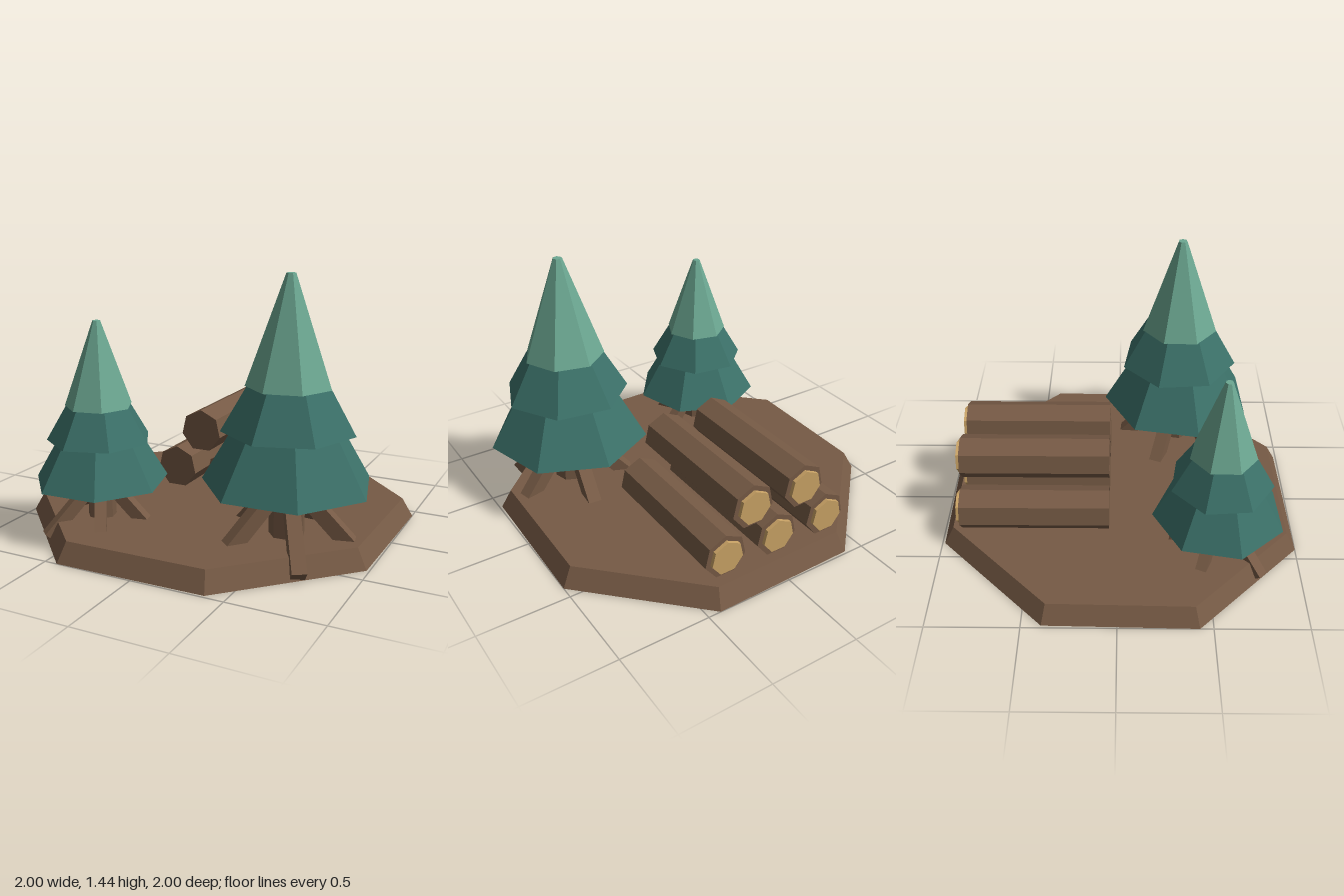
import * as THREE from 'three';

const material = (name, color) => {
  const m = new THREE.MeshStandardMaterial({ color });
  m.name = name;
  return m;
};

// Faceted normals for the low-poly look
const flat = (geometry) => {
  const g = geometry.toNonIndexed();
  g.computeVertexNormals();
  return g;
};

export function createModel() {
  const wood = material('bark brown', 0x765a45);
  const cut = material('cut wood tan', 0xc9a265);
  const foliage = material('dark foliage teal', 0x3b7068);
  const tip = material('light foliage green', 0x6ca892);

  const add = (parent, name, geometry, mat) => {
    const mesh = new THREE.Mesh(flat(geometry), mat);
    mesh.name = name;
    parent.add(mesh);
    return mesh;
  };
  const model = new THREE.Group();
  model.name = 'forestClearing';

  // Octagonal ground slab, slightly stretched along one diagonal
  const slab = new THREE.CylinderGeometry(0.945, 1, 0.105, 8, 1, false, Math.PI / 8);
  slab.scale(1.094, 1, 1.056).rotateY(Math.PI / 4).translate(0, 0.0675, 0);
  add(model, 'ground', slab, wood);

  // Stacked seven-sided logs with pale cut ends at the back
  const logs = new THREE.Group();
  logs.name = 'logPile';
  model.add(logs);
  const rod = (radius, z0, z1) =>
    new THREE.CylinderGeometry(radius, radius, z1 - z0, 7)
      .rotateX(-Math.PI / 2).translate(0, 0, (z0 + z1) / 2);
  for (const [x, y] of [[-0.32, 0.231], [0, 0.231], [0.32, 0.231], [-0.16, 0.469], [0.16, 0.469]]) {
    const log = new THREE.Group();
    log.name = 'log';
    log.position.set(x, y, 0);
    add(log, 'logBark', rod(0.124, -0.88, -0.05), wood);
    add(log, 'logCutEnd', rod(0.095, -0.9, -0.875), cut);
    logs.add(log);
  }

  // Tree: trunk, sloping roots and three seven-sided foliage tiers
  const rad = THREE.MathUtils.degToRad;
  const cone = (rTop, rBottom, y0, y1, phase) =>
    new THREE.CylinderGeometry(rTop, rBottom, y1 - y0, 7, 1, false, rad(phase))
      .translate(0, (y0 + y1) / 2, 0);
  const makeTree = (name, x, z, scale) => {
    const tree = new THREE.Group();
    tree.name = name;
    tree.position.set(x, 0, z);
    tree.scale.setScalar(scale);
    add(tree, 'trunk', cone(0.095, 0.095, 0.03, 0.5, 28), wood);
    add(tree, 'lowerFoliage', cone(0.27, 0.445, 0.39, 0.69, 28), foliage);
    add(tree, 'middleFoliage', cone(0.2, 0.345, 0.67, 0.92, 43), foliage);
    add(tree, 'topFoliage', cone(0.025, 0.222, 0.895, 1.452, 38), tip);

    const inner = new THREE.Vector3(0, 0.38, 0.05);
    const outer = new THREE.Vector3(0, 0.045, 0.365);
    const length = inner.distanceTo(outer);
    const tilt = Math.atan2(inner.y - outer.y, outer.z - inner.z);
    const middle = inner.clone().add(outer).multiplyScalar(0.5);
    for (let i = 0; i < 5; i++) {
      const root = new THREE.BoxGeometry(0.075, 0.08, length)
        .rotateX(tilt).translate(0, middle.y, middle.z).rotateY(rad(31 + i * 72));
      add(tree, 'root', root, wood);
    }
    model.add(tree);
  };
  makeTree('tallTree', 0.548, 0.358, 1);
  makeTree('shortTree', -0.453, 0.547, 0.812);

  return model;
}
